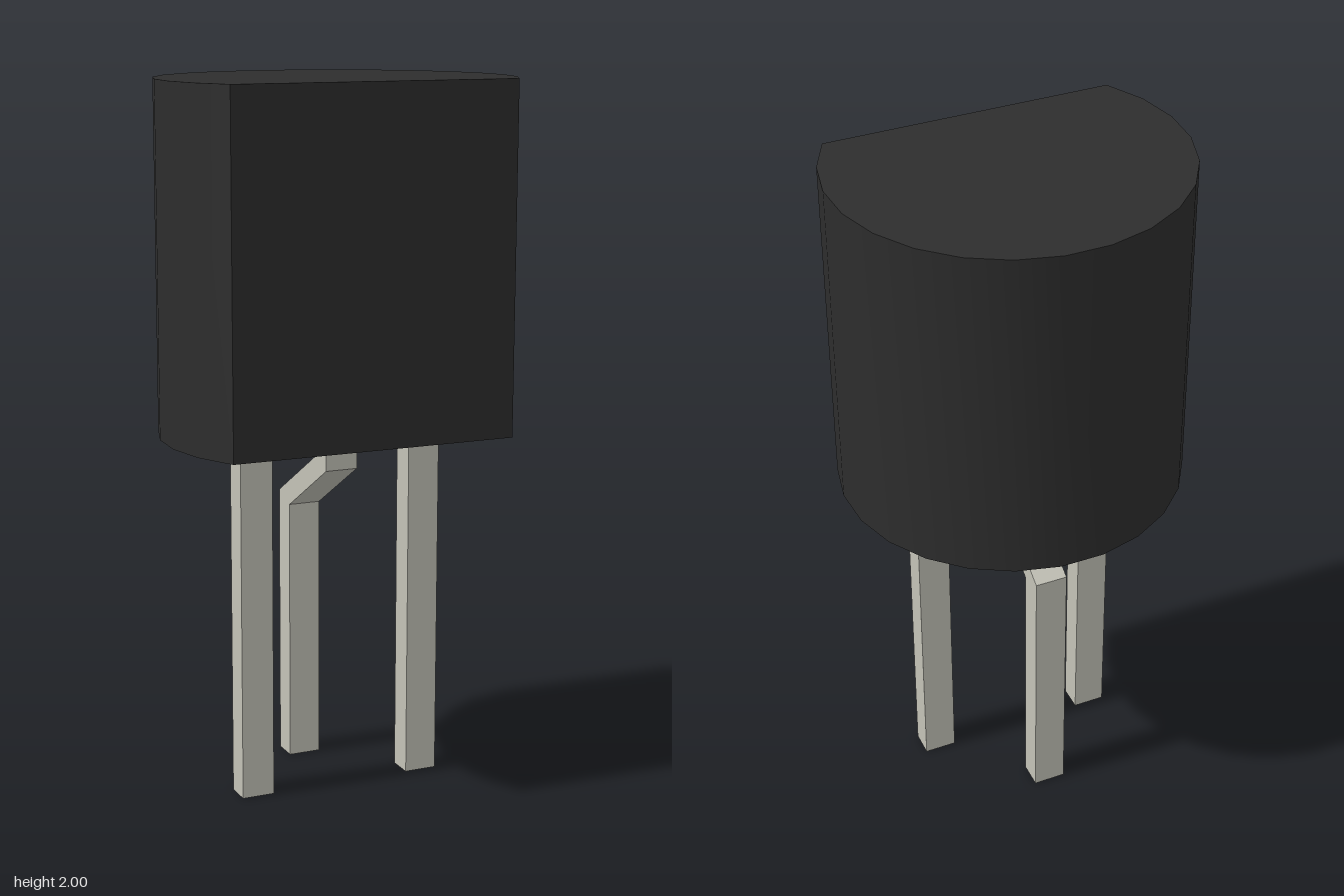
import * as THREE from 'three';
import { toCreasedNormals } from 'three/addons/utils/BufferGeometryUtils.js';

const BODY_BOTTOM = 1.025, TOP = 2;
const RADIUS = 0.494, CENTRE_Z = 0.107;
const LEG_W = 0.094, LEG_BACK = 0.075, LEG_FRONT = 0.15;

const shapeOf = (pts) => new THREE.Shape(pts.map(([a, b]) => new THREE.Vector2(a, b)));

export function createModel() {
  const group = new THREE.Group();
  const black = new THREE.MeshStandardMaterial({ color: 0x2d2d2d });
  const metal = new THREE.MeshStandardMaterial({ color: 0xc3c2b7 });

  const add = (name, geometry, material) => {
    const mesh = new THREE.Mesh(geometry, material);
    mesh.name = name;
    group.add(mesh);
    return mesh;
  };

  // Body: a 17-sided arc closed by the flat front face
  const sides = 17, halfArc = THREE.MathUtils.degToRad(123.5);
  const outline = [];
  for (let i = 0; i <= sides; i++) {
    const a = halfArc - (2 * halfArc * i) / sides; // measured from the back
    outline.push([RADIUS * Math.sin(a), RADIUS * Math.cos(a) - CENTRE_Z]);
  }
  const body = new THREE.ExtrudeGeometry(shapeOf(outline), { depth: TOP - BODY_BOTTOM, bevelEnabled: false });
  body.rotateX(-Math.PI / 2).translate(0, BODY_BOTTOM, 0);
  add('body', toCreasedNormals(body, 0.5), black);

  // Straight outer legs
  for (const [name, side] of [['leftLeg', 1], ['rightLeg', -1]]) {
    const leg = new THREE.BoxGeometry(LEG_W, BODY_BOTTOM, LEG_FRONT - LEG_BACK);
    add(name, leg, metal).position.set(side * 0.255, BODY_BOTTOM / 2, (LEG_FRONT + LEG_BACK) / 2);
  }

  // Middle leg, bent backwards: side profile as [z, y]
  const profile = [
    [LEG_FRONT, BODY_BOTTOM], [LEG_BACK, BODY_BOTTOM], [LEG_BACK, 0.95], [-0.186, 0.797],
    [-0.186, 0], [-0.111, 0], [-0.111, 0.768], [LEG_FRONT, 0.923],
  ];
  const bent = new THREE.ExtrudeGeometry(shapeOf(profile), { depth: LEG_W, bevelEnabled: false });
  bent.translate(0, 0, -LEG_W / 2).rotateY(-Math.PI / 2);
  add('middleLeg', bent, metal);

  return group;
}
